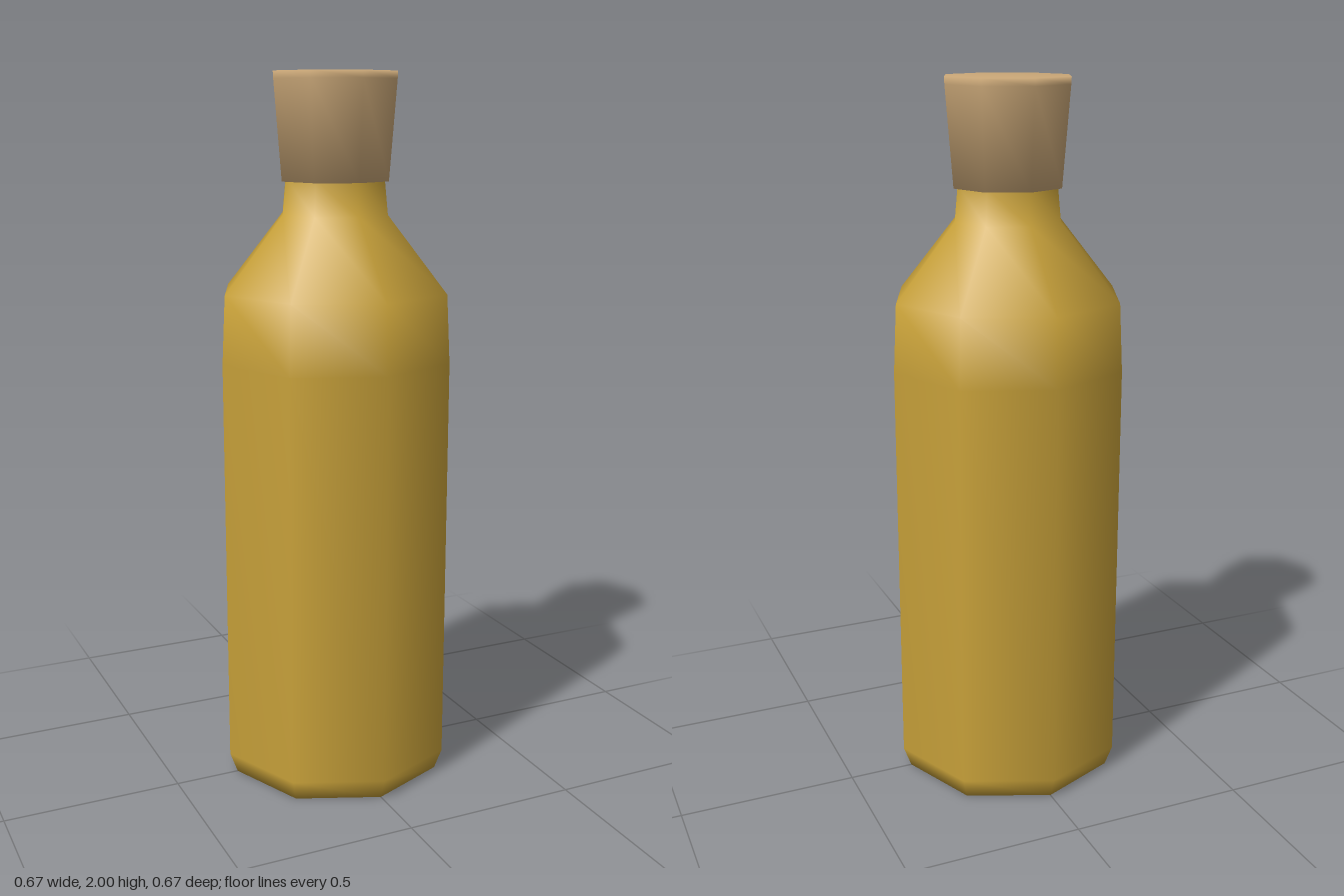
import * as THREE from 'three';

const SIDES = 8;

// Smooth eight-sided turned part from a bottom-to-top list of [radius, height]
function turned(name, color, profile) {
  const points = profile.map(([r, y]) => new THREE.Vector2(r, y));
  const mesh = new THREE.Mesh(
    new THREE.LatheGeometry(points, SIDES),
    new THREE.MeshStandardMaterial({ color })
  );
  mesh.name = name;
  return mesh;
}

export function createModel() {
  const group = new THREE.Group();
  group.name = 'corkedBottle';

  // Body with bevelled foot, sloping shoulder and short neck
  group.add(turned('bottle', 0xc9a23a, [
    [0, 0], [0.315, 0], [0.337, 0.06], [0.337, 1.22],
    [0.327, 1.41], [0.155, 1.62], [0.145, 1.72],
  ]));

  // Tapered stopper with a thin straight rim
  group.add(turned('cork', 0xcba878, [
    [0, 1.71], [0.157, 1.71], [0.179, 1.98], [0.18, 2], [0, 2],
  ]));

  return group;
}
